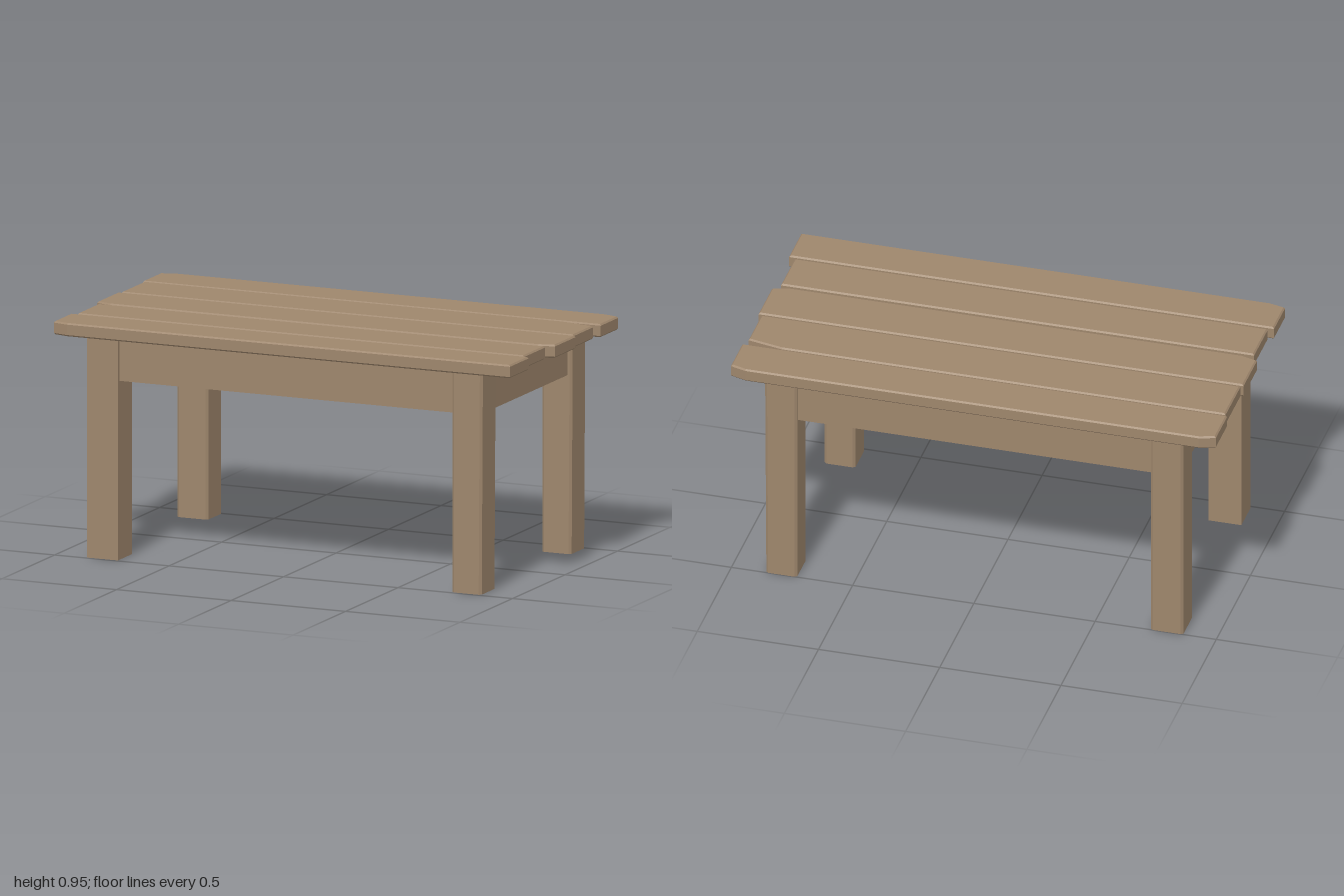
import * as THREE from 'three';

const wood = new THREE.MeshStandardMaterial({ color: 0x9e866c, flatShading: true });

// Upright prism from an [x, z] outline, with small bevels on its top and bottom edges
function prism(name, outline, y0, y1, bevel) {
  const shape = new THREE.Shape(outline.map(([x, z]) => new THREE.Vector2(x, -z)));
  const geo = new THREE.ExtrudeGeometry(shape, {
    depth: y1 - y0 - 2 * bevel,
    bevelEnabled: bevel > 0,
    bevelThickness: bevel,
    bevelSize: bevel,
    bevelOffset: -bevel,
    bevelSegments: 1,
  });
  geo.rotateX(-Math.PI / 2);
  geo.translate(0, y0 + bevel, 0);
  const mesh = new THREE.Mesh(geo, wood);
  mesh.name = name;
  return mesh;
}

// Rectangle whose corners may be cut: cuts = { frontLeft: [dx, dz], ... }, with "Right" meaning +x here
function cutRect(x0, x1, z0, z1, cuts = {}) {
  const pts = [];
  const corner = (x, z, sx, sz, cut, alongXFirst) => {
    if (!cut) return pts.push([x, z]);
    const a = [x + sx * cut[0], z];
    const b = [x, z + sz * cut[1]];
    pts.push(...(alongXFirst ? [a, b] : [b, a]));
  };
  corner(x0, z1, 1, -1, cuts.frontMinus, false);
  corner(x1, z1, -1, -1, cuts.frontPlus, true);
  corner(x1, z0, -1, 1, cuts.backPlus, false);
  corner(x0, z0, 1, 1, cuts.backMinus, true);
  return pts;
}

function box(name, x0, x1, y0, y1, z0, z1) {
  const mesh = new THREE.Mesh(new THREE.BoxGeometry(x1 - x0, y1 - y0, z1 - z0), wood);
  mesh.position.set((x0 + x1) / 2, (y0 + y1) / 2, (z0 + z1) / 2);
  mesh.name = name;
  return mesh;
}

export function createModel() {
  const group = new THREE.Group();
  group.name = 'plankTable';

  // Table top: five uneven planks, some with worn corners
  const c = [0.065, 0.02];
  const planks = [
    [-1, 1, -0.527, -0.34, { backMinus: c, backPlus: c }],
    [-0.99, 0.985, -0.331, -0.113, { backPlus: [0.145, 0.03] }],
    [-1, 1, -0.102, 0.114, { frontMinus: c, frontPlus: c }],
    [-0.978, 0.973, 0.131, 0.332, {}],
    [-1, 1, 0.345, 0.524, { frontMinus: [0.065, 0.016] }],
  ];
  planks.forEach(([x0, x1, z0, z1, cuts], i) =>
    group.add(prism(`plank${i + 1}`, cutRect(x0, x1, z0, z1, cuts), 0.897, 0.951, 0.006)));

  // Four legs, narrowing very slightly to the foot; one keeps its square edges
  for (const sx of [-1, 1]) {
    for (const front of [true, false]) {
      const [z0, z1] = front ? [0.354, 0.491] : [-0.5, -0.365];
      const [x0, x1] = sx < 0 ? [-0.863, -0.728] : [0.73, 0.863];
      const k = [0.01, 0.008];
      const cuts = sx < 0 && front ? {}
        : { frontMinus: k, frontPlus: k, backMinus: k, backPlus: k };
      const name = `${front ? 'front' : 'back'}${sx > 0 ? 'Left' : 'Right'}Leg`;
      const leg = prism(name, cutRect(x0, x1, z0, z1, cuts), 0, 0.898, 0);
      if (sx > 0) {
        const p = leg.geometry.attributes.position;
        for (let i = 0; i < p.count; i++) {
          if (p.getY(i) < 0.1 && p.getX(i) > 0.8) p.setX(i, p.getX(i) - 0.005);
        }
        leg.geometry.computeVertexNormals();
      }
      group.add(leg);
    }
  }

  // Aprons between the legs, set a little behind the leg faces
  group.add(
    box('frontApron', -0.74, 0.74, 0.726, 0.898, 0.42, 0.475),
    box('backApron', -0.74, 0.74, 0.726, 0.898, -0.485, -0.43),
    box('leftApron', 0.787, 0.843, 0.726, 0.898, -0.372, 0.362),
    box('rightApron', -0.843, -0.787, 0.726, 0.898, -0.372, 0.362),
  );
  return group;
}
